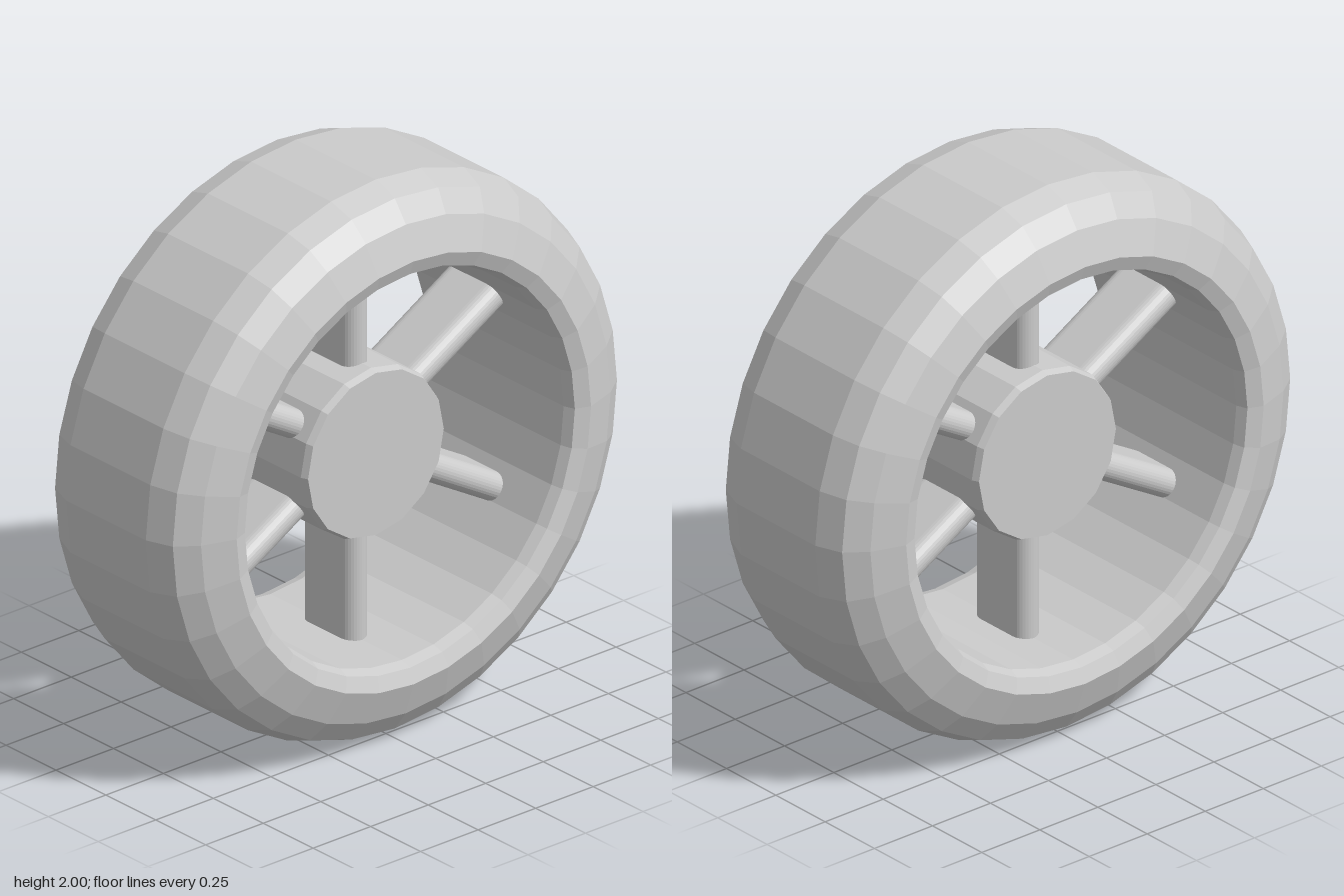
import * as THREE from 'three';

const material = new THREE.MeshStandardMaterial({ color: 0xcccccc, flatShading: true });
const smooth = new THREE.MeshStandardMaterial({ color: 0xcccccc });

// Revolve a [radius, x] profile around the x axis
function revolve(name, profile, sides) {
  const points = profile.map(([r, x]) => new THREE.Vector2(r, x));
  const geometry = new THREE.LatheGeometry(points, sides);
  geometry.rotateZ(-Math.PI / 2);
  const mesh = new THREE.Mesh(geometry, material);
  mesh.name = name;
  return mesh;
}

// Mirror half a profile so that it runs from -x to +x
const mirrored = (half) => [...half.map(([r, x]) => [r, -x]).reverse(), ...half];

export function createModel() {
  const model = new THREE.Group();
  model.name = 'wheel';
  const wheel = new THREE.Group();
  wheel.name = 'wheelAssembly';
  wheel.position.y = 1;
  model.add(wheel);

  // Tyre: flat tread, rounded shoulders and a narrow lip into the bore
  const tyreHalf = [[1, 0.2], [0.965, 0.295], [0.89, 0.35], [0.77, 0.39], [0.717, 0.37], [0.703, 0.33]];
  const tyre = mirrored(tyreHalf);
  tyre.push(tyre[0]); // close the loop through the bore
  wheel.add(revolve('tyre', tyre, 32));

  // Hub: short drum with bevelled rims
  wheel.add(revolve('hub', mirrored([[0.305, 0.175], [0.295, 0.2], [0, 0.2]]), 16));

  // Spokes: flat bars with rounded edges, wide along the axle
  const section = new THREE.Shape();
  section.absarc(0.08, 0, 0.05, -Math.PI / 2, Math.PI / 2);
  section.absarc(-0.08, 0, 0.05, Math.PI / 2, Math.PI * 1.5);
  section.closePath();
  const bar = new THREE.ExtrudeGeometry(section, { depth: 0.47, bevelEnabled: false, curveSegments: 8 });
  bar.translate(0, 0, 0.24);
  bar.rotateX(-Math.PI / 2);
  for (let i = 0; i < 6; i++) {
    const spoke = new THREE.Mesh(bar, smooth);
    spoke.name = `spoke${i + 1}`;
    spoke.rotation.x = (i * Math.PI) / 3;
    wheel.add(spoke);
  }
  return model;
}
